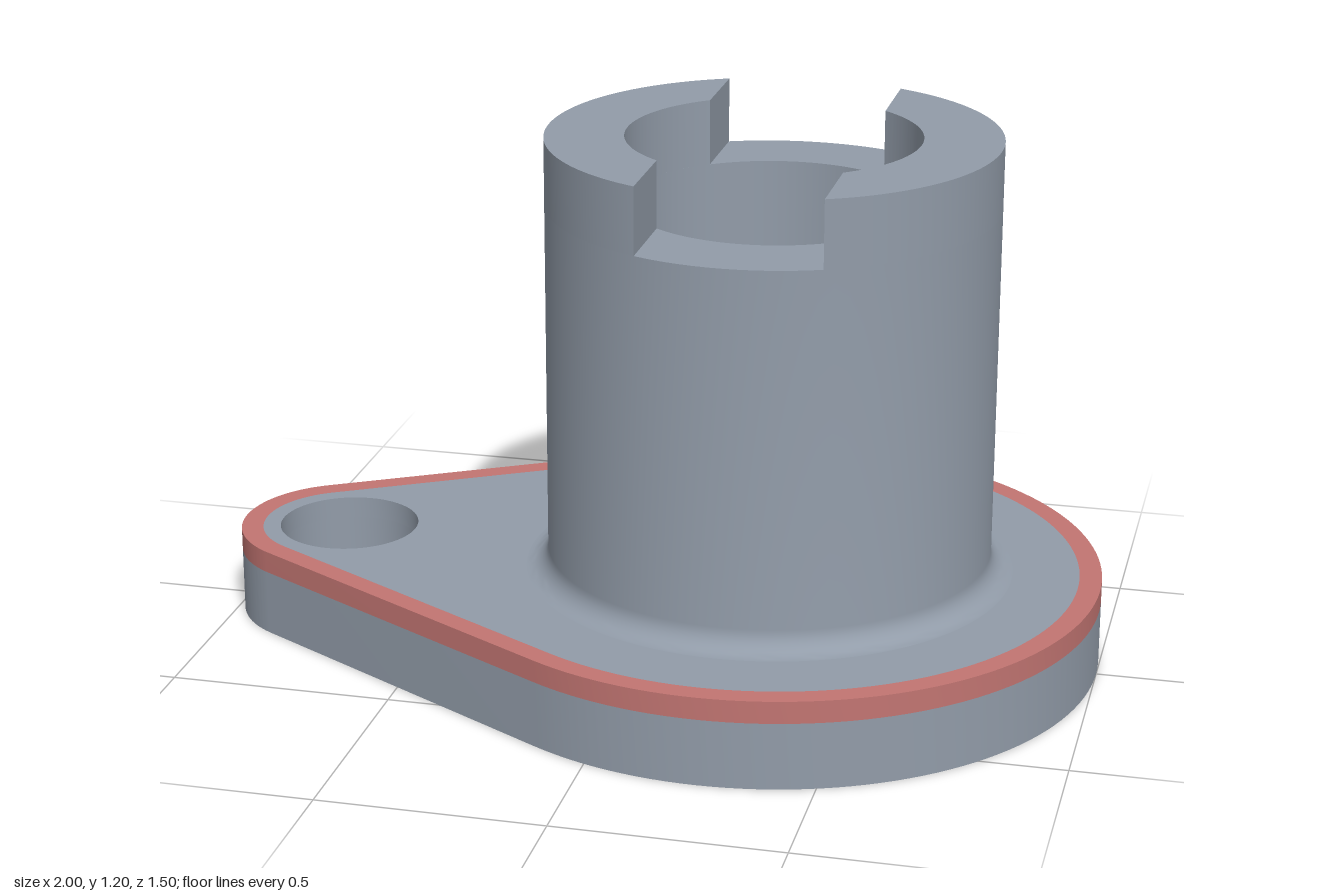
import * as THREE from 'three';
import { toCreasedNormals } from 'three/addons/utils/BufferGeometryUtils.js';

const TUBE_X = 0.25, BOLT_X = -0.75;
const TUBE_R = 0.5, BORE_R = 0.325, BOLT_R = 0.16;
const BAND_Y = 0.15, BASE_Y = 0.2, SLOT_Y = 1.05, TOP_Y = 1.2;
const SLOT_HALF = 0.2, FILLET = 0.05;

// Teardrop outline: two arcs joined by their common tangents
function trace(path, inset = 0) {
  const a = (Math.PI * 2) / 3;
  path.absarc(TUBE_X, 0, 0.75 - inset, -a, a, false);
  path.absarc(BOLT_X, 0, 0.25 - inset, a, -a + Math.PI * 2, false);
  path.closePath();
  return path;
}

function circle(x, r) {
  return new THREE.Path().absarc(x, 0, r, 0, Math.PI * 2, true);
}

// Upright slab between two heights, with smooth curved walls
function slab(shape, y0, y1) {
  const g = new THREE.ExtrudeGeometry(shape, { depth: y1 - y0, bevelEnabled: false, curveSegments: 48 });
  g.rotateX(-Math.PI / 2).translate(0, y0, 0);
  return toCreasedNormals(g, 0.5);
}

export function createModel() {
  const group = new THREE.Group();
  const steel = new THREE.MeshStandardMaterial({ color: 0x929ca9 });
  steel.name = 'steel grey';
  const red = new THREE.MeshStandardMaterial({ color: 0xc27572 });
  red.name = 'edge red';

  const add = (name, geometry, material) => {
    const mesh = new THREE.Mesh(geometry, material);
    mesh.name = name;
    group.add(mesh);
    return mesh;
  };

  // Flange: full lower plate, inset upper plate and the red edge around it
  const holes = () => [circle(TUBE_X, BORE_R), circle(BOLT_X, BOLT_R)];
  const lower = trace(new THREE.Shape());
  lower.holes = holes();
  add('flangeBase', slab(lower, 0, BAND_Y), steel);

  const upper = trace(new THREE.Shape(), 0.05);
  upper.holes = holes();
  add('flangeTop', slab(upper, BAND_Y, BASE_Y), steel);

  const band = trace(new THREE.Shape());
  band.holes = [trace(new THREE.Path(), 0.05)];
  add('flangeEdgeBand', slab(band, BAND_Y, BASE_Y), red);

  // Tube with a concave fillet at its foot, up to the slot floor
  const profile = [];
  for (let i = 0; i <= 8; i++) {
    const t = (i / 8) * Math.PI / 2;
    profile.push(new THREE.Vector2(
      TUBE_R + FILLET * (1 - Math.sin(t)),
      BASE_Y + FILLET * (1 - Math.cos(t))
    ));
  }
  profile.push(
    new THREE.Vector2(TUBE_R, SLOT_Y),
    new THREE.Vector2(BORE_R, SLOT_Y),
    new THREE.Vector2(BORE_R, BASE_Y)
  );
  const tube = add('tube', toCreasedNormals(new THREE.LatheGeometry(profile, 96), 0.5), steel);
  tube.position.x = TUBE_X;

  // Two raised jaws either side of the slot across the top
  const outer = Math.acos(SLOT_HALF / TUBE_R), inner = Math.acos(SLOT_HALF / BORE_R);
  for (const [name, turn] of [['leftJaw', 0], ['rightJaw', Math.PI]]) {
    const jaw = new THREE.Shape();
    jaw.absarc(0, 0, TUBE_R, turn - outer, turn + outer, false);
    jaw.absarc(0, 0, BORE_R, turn + inner, turn - inner, true);
    jaw.closePath();
    add(name, slab(jaw, SLOT_Y, TOP_Y), steel).position.x = TUBE_X;
  }

  return group;
}
